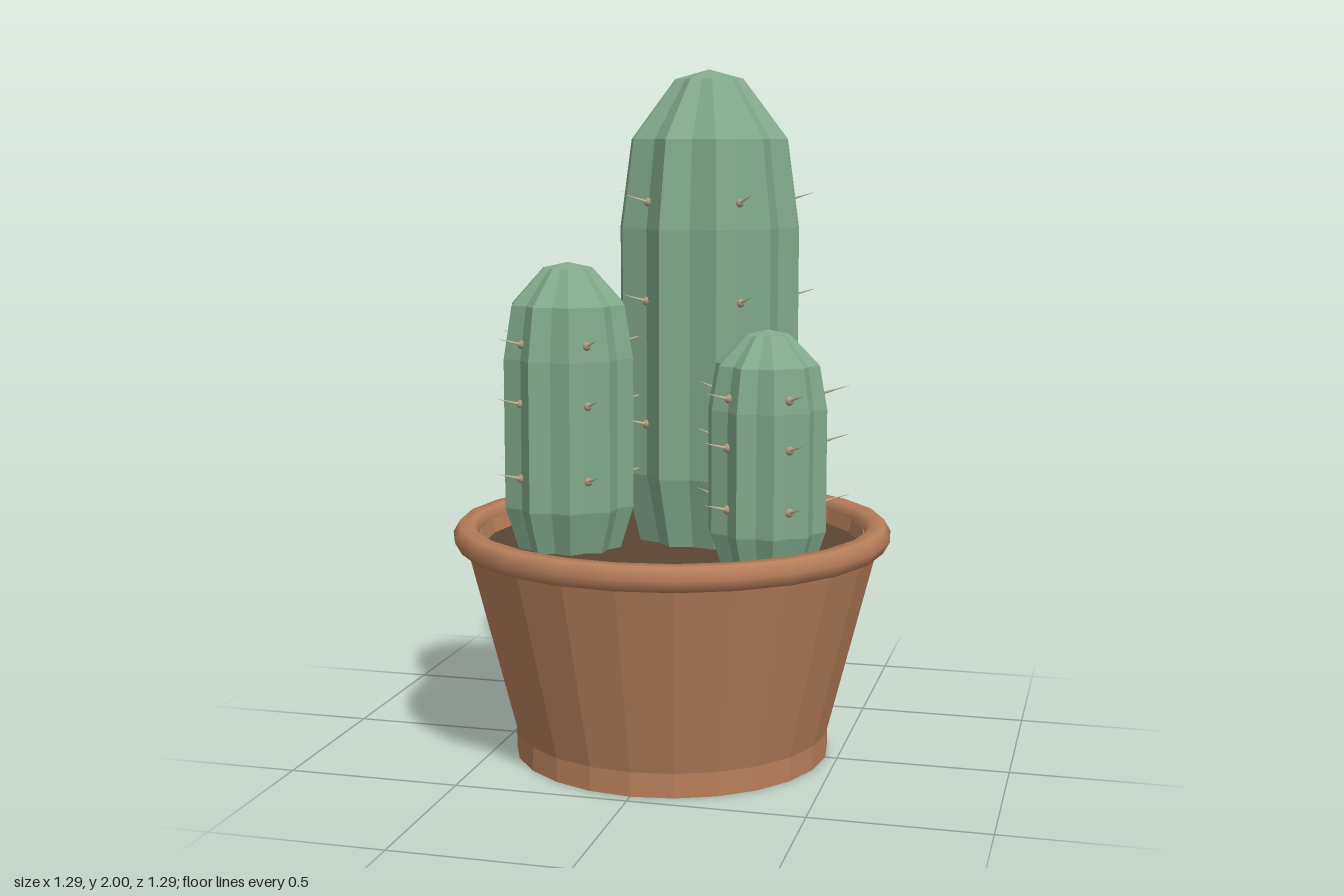
import * as THREE from 'three';

const mat = (name, color, flatShading = false) => {
  const m = new THREE.MeshStandardMaterial({ color, flatShading });
  m.name = name;
  return m;
};

const SOIL_Y = 0.62;
const VALLEY = 0.87; // groove radius relative to rib radius

export function createModel() {
  const terracotta = mat('terracotta', 0xb87f5a, true);
  const rimClay = terracotta.clone();
  rimClay.flatShading = false;
  const soilMat = mat('soil', 0x5a4535);
  const green = mat('cactusGreen', 0x82a98c, true);
  const areoleMat = mat('areole', 0xb09a80);
  const spineMat = mat('spine', 0xcbbd9a);

  const model = new THREE.Group();
  model.name = 'pottedCacti';
  const add = (parent, name, geometry, material) => {
    const mesh = new THREE.Mesh(geometry, material);
    mesh.name = name;
    parent.add(mesh);
    return mesh;
  };
  const lathe = (pts, segments) =>
    new THREE.LatheGeometry(pts.map(([r, y]) => new THREE.Vector2(r, y)), segments);

  // Pot: closed base, straight foot, flared wall and inner lip
  add(model, 'pot', lathe([
    [0, 0], [0.465, 0], [0.465, 0.07], [0.61, 0.64], [0.565, 0.66], [0.55, 0.59],
  ], 24), terracotta);

  // Rounded rim
  const rim = add(model, 'rim', new THREE.TorusGeometry(0.605, 0.04, 6, 24).rotateX(Math.PI / 2), rimClay);
  rim.position.y = 0.655;

  // Soil disc
  const soil = add(model, 'soil', new THREE.CircleGeometry(0.555, 24).rotateX(-Math.PI / 2), soilMat);
  soil.position.y = SOIL_Y;

  // Ribbed column: a 20-sided lathe with every other line pulled in
  const profile = [[0.8, 0], [1, 0.15], [1, 0.67], [0.87, 0.855], [0.38, 0.98], [0, 1]];
  const ribbedColumn = (radius, height) => {
    const g = lathe(profile.map(([r, t]) => [r * radius, t * height]), 20);
    const p = g.attributes.position;
    for (let i = 0; i < p.count; i++) {
      const line = Math.floor(i / profile.length);
      if (line % 2 === 0) p.setXYZ(i, p.getX(i) * VALLEY, p.getY(i), p.getZ(i) * VALLEY);
    }
    g.computeVertexNormals();
    return g;
  };

  const areoleGeo = new THREE.SphereGeometry(0.013, 8, 6);
  const spineGeo = new THREE.ConeGeometry(0.005, 0.09, 5).translate(0, 0.045, 0);

  const addCactus = (name, x, z, radius, height) => {
    const cactus = new THREE.Group();
    cactus.name = name;
    cactus.position.set(x, SOIL_Y, z);
    model.add(cactus);
    add(cactus, 'ribbedStem', ribbedColumn(radius, height), green);

    // Three rows of five spines in alternate grooves
    for (const [t, k] of [[0.26, 1], [0.52, 1], [0.725, 0.965]]) {
      for (let i = 0; i < 5; i++) {
        const spike = new THREE.Group();
        spike.name = 'spike';
        spike.rotation.y = Math.PI + i * Math.PI * 2 / 5;
        cactus.add(spike);
        const areole = add(spike, 'areole', areoleGeo, areoleMat);
        areole.position.set(0, t * height, radius * VALLEY * k);
        const spine = add(spike, 'spine', spineGeo, spineMat);
        spine.position.copy(areole.position);
        spine.rotation.x = Math.PI / 2 - 0.27;
      }
    }
  };

  addCactus('tallCactus', 0.075, -0.14, 0.27, 1.38);
  addCactus('mediumCactus', -0.285, 0.1, 0.195, 0.83);
  addCactus('smallCactus', 0.325, 0.2, 0.168, 0.66);

  return model;
}
